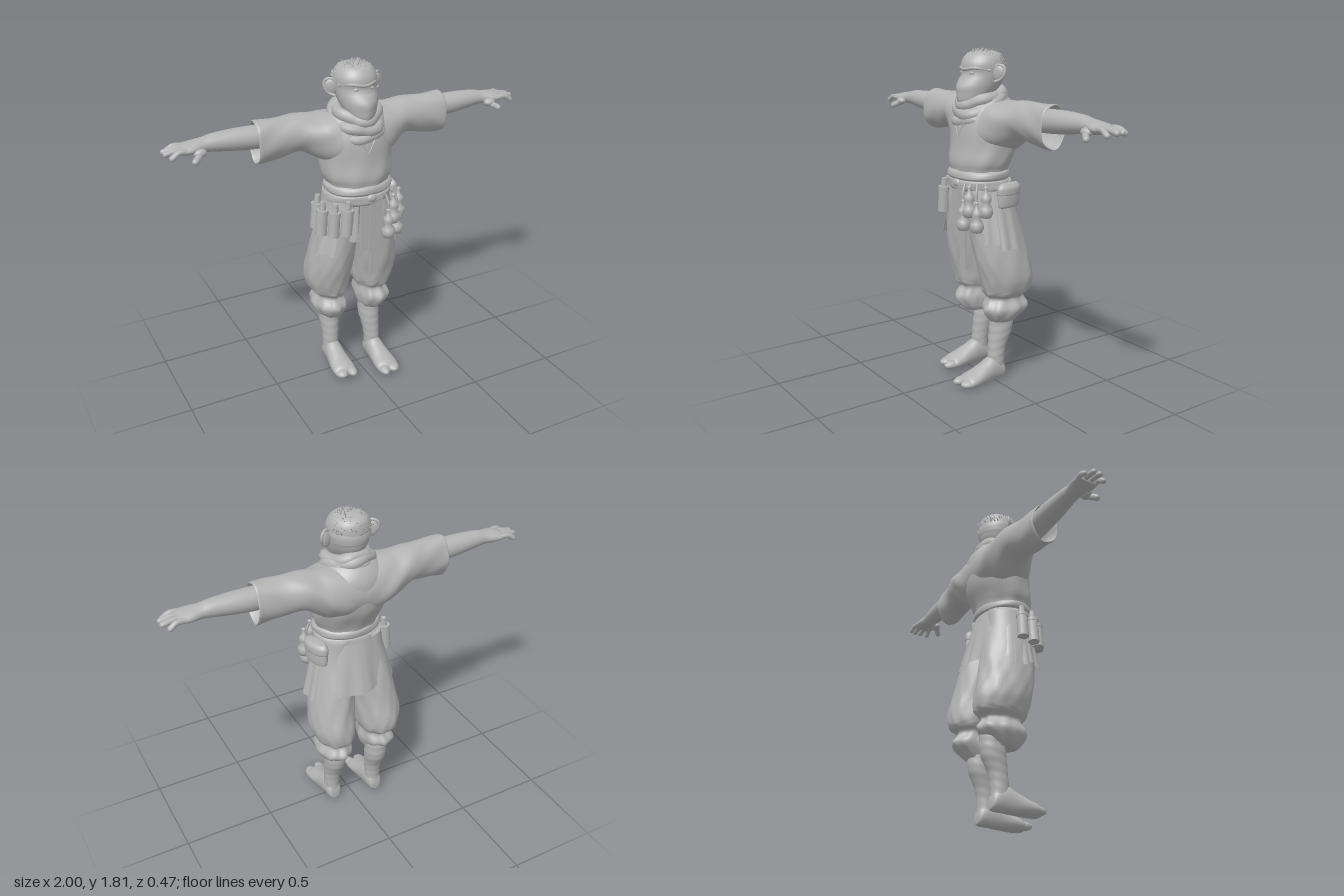
import * as THREE from 'three';

const grey = new THREE.MeshStandardMaterial({ color: 0xb3b3b3, side: THREE.DoubleSide });
grey.name = 'plain grey';

// Smooth skin through elliptical sections [u, ca, cb, ra, rb] along an axis:
// y axis: a = x, b = z; x axis: a = z, b = y; z axis: a = y, b = x
function loft(rows, { axis = 'y', n = 32, sub = 5, open = false, ripple = () => 1, floor = -9 } = {}) {
  const pos = [], idx = [], rings = [];
  const at = i => rows[Math.max(0, Math.min(rows.length - 1, i))];
  for (let i = 0; i < rows.length - 1; i++) {
    for (let k = 0; k < sub; k++) {
      const t = k / sub;
      rings.push(at(i).map((p1, c) => {
        const p0 = at(i - 1)[c], p2 = at(i + 1)[c], p3 = at(i + 2)[c];
        return 0.5 * (2 * p1 + (p2 - p0) * t + (2 * p0 - 5 * p1 + 4 * p2 - p3) * t * t + (3 * p1 - p0 - 3 * p2 + p3) * t * t * t);
      }));
    }
  }
  rings.push(rows[rows.length - 1]);
  const put = (u, a, b) => {
    const p = axis === 'y' ? [a, u, b] : axis === 'x' ? [u, b, a] : [b, a, u];
    pos.push(p[0], Math.max(p[1], floor), p[2]);
  };
  for (const [u, ca, cb, ra, rb] of rings) {
    for (let j = 0; j < n; j++) {
      const t = j / n * Math.PI * 2, r = ripple(t, u);
      put(u, ca + ra * r * Math.cos(t), cb + rb * r * Math.sin(t));
    }
  }
  for (let i = 0; i < rings.length - 1; i++) {
    for (let j = 0; j < n; j++) {
      const a = i * n + j, b = i * n + (j + 1) % n;
      idx.push(a, a + n, b, b, a + n, b + n);
    }
  }
  if (!open) {
    const last = (rings.length - 1) * n, c = rings.length * n;
    put(...rings[0]);
    put(...rings[rings.length - 1]);
    for (let j = 0; j < n; j++) {
      const k = (j + 1) % n;
      idx.push(c, j, k, c + 1, last + k, last + j);
    }
  }
  const g = new THREE.BufferGeometry();
  g.setAttribute('position', new THREE.Float32BufferAttribute(pos, 3));
  g.setIndex(idx);
  g.computeVertexNormals();
  return g;
}

// Mirror across x, keeping faces outward
function mirror(geo) {
  const g = geo.clone().scale(-1, 1, 1), ix = g.index.array;
  for (let i = 0; i < ix.length; i += 3) [ix[i], ix[i + 1]] = [ix[i + 1], ix[i]];
  return g;
}

const V = p => new THREE.Vector3(...p);
const tube = (pts, r, closed = false) =>
  new THREE.TubeGeometry(new THREE.CatmullRomCurve3(pts.map(V), closed), closed ? 56 : 16, r, 10, closed);
const ball = (p, s) => new THREE.SphereGeometry(1, 20, 14).scale(...s).translate(...p);

// Cloth panel hanging round the hips between two angles (0 = front, +90 = left)
function panel(a0, a1, yBot, off = 0) {
  const g = new THREE.PlaneGeometry(1, 1, 10, 8), p = g.attributes.position;
  for (let i = 0; i < p.count; i++) {
    const u = p.getX(i) + 0.5, d = 0.5 - p.getY(i);
    const a = THREE.MathUtils.degToRad(a0 + (a1 - a0) * u), y = 1.1 + (yBot - 1.1) * d;
    const f = (1.1 - y) / 0.3, w = off * d + 0.007 * Math.sin(u * 9) * d;
    p.setXYZ(i, (0.175 + 0.065 * f + w) * Math.sin(a), y, (0.145 + 0.045 * f + w) * Math.cos(a) - 0.015 * f);
  }
  g.computeVertexNormals();
  return g;
}

export function createModel() {
  const model = new THREE.Group();
  const add = (name, geo, parent = model) => {
    const m = new THREE.Mesh(geo, grey);
    m.name = name;
    parent.add(m);
    return m;
  };
  const both = (name, geo) => [add('left' + name, geo), add('right' + name, mirror(geo))];
  let seed = 7;
  const rnd = () => (seed = (seed * 16807) % 2147483647) / 2147483647;

  // Head, cloth face mask and brow
  add('head', loft([[1.46, 0, 0.0, 0.06, 0.07], [1.52, 0, 0.035, 0.065, 0.078], [1.56, 0, 0.03, 0.08, 0.092], [1.61, 0, 0.006, 0.097, 0.12],
    [1.66, 0, -0.012, 0.106, 0.117], [1.72, 0, -0.015, 0.11, 0.116], [1.76, 0, -0.02, 0.094, 0.1], [1.78, 0, -0.02, 0.066, 0.07], [1.79, 0, -0.02, 0.015, 0.015]],
    { n: 48, ripple: (t, u) => 1 - 0.05 * Math.exp(-(((u - 1.678) / 0.014) ** 2)) * Math.max(0, Math.sin(t)) }));
  add('faceMask', loft([[1.49, 0, 0.06, 0.045, 0.052], [1.53, 0, 0.05, 0.07, 0.083], [1.57, 0, 0.035, 0.087, 0.1], [1.61, 0, 0.012, 0.1, 0.122], [1.655, 0, -0.01, 0.109, 0.12]],
    { open: true, n: 48, ripple: (t, u) => 1 + 0.07 * Math.exp(-(((t - Math.PI / 2) / 0.3) ** 2)) * Math.sin((u - 1.49) / 0.165 * Math.PI) }));
  add('brow', tube([[-0.103, 1.69, 0.01], [-0.06, 1.703, 0.081], [0, 1.694, 0.1], [0.06, 1.703, 0.081], [0.103, 1.69, 0.01]], 0.009));
  both('Eye', ball([0.04, 1.676, 0.083], [0.018, 0.009, 0.012]));
  both('Ear', ball([0, 0, 0], [0.034, 0.043, 0.016]).rotateY(0.45).rotateZ(-0.2).translate(0.127, 1.673, -0.025));
  both('EarRim', tube([[0.103, 1.698, -0.012], [0.126, 1.718, -0.022], [0.153, 1.708, -0.04], [0.158, 1.678, -0.04], [0.14, 1.645, -0.026], [0.113, 1.632, -0.008]], 0.008));

  // Short spiky hair
  const hair = new THREE.Group();
  hair.name = 'hair';
  model.add(hair);
  add('hairCap', new THREE.SphereGeometry(1, 28, 12, 0, Math.PI * 2, 0, 1.5).scale(0.113, 0.095, 0.117).rotateX(-0.28).translate(0, 1.69, -0.02), hair);
  for (let i = 0; i < 120; i++) {
    const a = rnd() * Math.PI * 2, e = 0.05 + 1.35 * Math.sqrt(rnd());
    const el = Math.sin(a) < 0.2 ? e : e * 0.65;
    const d = V([Math.sin(el) * Math.cos(a), Math.cos(el), Math.sin(el) * Math.sin(a)]);
    const s = add('hairSpike', new THREE.ConeGeometry(0.012, 0.045 + rnd() * 0.015, 5), hair);
    s.position.set(d.x * 0.106, 1.688 + d.y * 0.097, -0.022 + d.z * 0.108);
    s.quaternion.setFromUnitVectors(V([0, 1, 0]), d.clone().multiplyScalar(0.6).add(V([0.1, 0.4, -0.4])).normalize());
  }

  // Scarf wrapped in sagging loops
  [[1.548, 0.102, 0.032, 0.3], [1.515, 0.113, 0.033, 0.44], [1.485, 0.117, 0.028, 0.54]].forEach(([y, r, w, tilt], k) => {
    const pts = [];
    for (let i = 0; i < 18; i++) {
      const a = i / 18 * Math.PI * 2, wob = r + 0.005 * Math.sin(5 * a + 2 * k);
      pts.push([wob * Math.cos(a), y - Math.sin(a) * r * tilt + 0.008 * Math.sin(3 * a + 2 * k), wob * Math.sin(a) * 1.04]);
    }
    add('scarfLoop', tube(pts, w, true));
  });

  // Tunic with crossed lapels
  add('tunic', loft([[1.08, 0, 0.01, 0.16, 0.135], [1.17, 0, 0.01, 0.168, 0.143], [1.22, 0, 0.005, 0.188, 0.155], [1.3, 0, -0.02, 0.2, 0.168], [1.4, 0, -0.03, 0.205, 0.17],
    [1.48, 0, -0.037, 0.185, 0.157], [1.54, 0, -0.03, 0.135, 0.125], [1.58, 0, -0.02, 0.07, 0.08]],
    { n: 56, ripple: (t, u) => 1 + 0.014 * Math.sin(9 * t + u * 18) * Math.max(0, 1.45 - u) * 4 }));
  both('Lapel', tube([[0.075, 1.48, 0.1], [0.04, 1.42, 0.13], [0, 1.35, 0.141]], 0.007));

  // Wide sleeves from the middle of the yoke, open at the cuff, with a folded lining
  const folds = (t, u) => 1 + 0.028 * Math.sin(5 * t + u * 26) * Math.sin(u * 9);
  both('Sleeve', loft([[0, -0.042, 1.4, 0.162, 0.14], [0.1, -0.047, 1.4, 0.159, 0.142], [0.17, -0.055, 1.41, 0.147, 0.13], [0.22, -0.06, 1.425, 0.13, 0.115], [0.3, -0.067, 1.453, 0.106, 0.097], [0.4, -0.057, 1.446, 0.088, 0.103],
    [0.5, -0.052, 1.441, 0.081, 0.112], [0.53, -0.052, 1.44, 0.08, 0.113], [0.53, -0.052, 1.44, 0.073, 0.105], [0.45, -0.052, 1.445, 0.072, 0.095]],
    { axis: 'x', n: 48, open: true, ripple: folds }));

  // Bare arms running into the palms
  both('Arm', loft([[0.4, -0.05, 1.465, 0.06, 0.06], [0.55, -0.055, 1.47, 0.061, 0.059], [0.65, -0.055, 1.475, 0.057, 0.054], [0.75, -0.055, 1.479, 0.048, 0.044],
    [0.8, -0.053, 1.477, 0.047, 0.036], [0.85, -0.05, 1.474, 0.06, 0.032], [0.89, -0.049, 1.473, 0.063, 0.025], [0.92, -0.049, 1.471, 0.055, 0.014]], { axis: 'x' }));
  for (let i = 0; i < 4; i++) {
    const z0 = -0.096 + i * 0.031, z1 = -0.108 + i * 0.037, end = [0.962, 0.986, 0.986, 0.965][i], y = [1.458, 1.466, 1.466, 1.455][i];
    both('Finger', tube([[0.87, 1.473, z0], [0.93, 1.476, (z0 + z1) / 2], [end, y, z1]], 0.0145));
    both('Fingertip', ball([end, y, z1], [0.0145, 0.0145, 0.0145]));
  }
  both('ThumbBase', ball([0.83, 1.457, 0], [0.034, 0.022, 0.026]));
  both('Thumb', tube([[0.81, 1.463, -0.015], [0.838, 1.447, 0.014], [0.864, 1.432, 0.034]], 0.0165));
  both('ThumbTip', ball([0.865, 1.431, 0.035], [0.0165, 0.0165, 0.0165]));

  // Baggy trousers gathered below the knee
  const [, rightTrouser] = both('TrouserLeg', loft([[0.34, 0.118, -0.06, 0.058, 0.07], [0.37, 0.125, -0.062, 0.08, 0.1], [0.42, 0.13, -0.075, 0.095, 0.137], [0.475, 0.122, -0.075, 0.08, 0.108],
    [0.505, 0.128, -0.083, 0.1, 0.135], [0.54, 0.131, -0.084, 0.113, 0.147], [0.6, 0.135, -0.076, 0.122, 0.154], [0.7, 0.127, -0.052, 0.121, 0.156],
    [0.85, 0.105, -0.027, 0.115, 0.152], [1.0, 0.09, 0, 0.1, 0.138], [1.12, 0.08, 0, 0.09, 0.128]],
    { n: 64, ripple: (t, u) => 1 + ((u < 0.52 ? 0.035 : 0.016) * Math.sin(8 * t + u * 20) + 0.012 * Math.sin(13 * t - u * 34)) * Math.min(1, Math.max(0, 1.05 - u) * 3) }));
  rightTrouser.position.x = -0.01;

  // Shins and split-toed shoes, the right one set back
  const lower = [
    ...both('Shin', loft([[0.05, 0.113, -0.025, 0.043, 0.046], [0.13, 0.113, -0.025, 0.044, 0.048], [0.2, 0.111, -0.035, 0.048, 0.053], [0.28, 0.109, -0.057, 0.058, 0.067],
      [0.36, 0.11, -0.065, 0.058, 0.066], [0.42, 0.11, -0.065, 0.055, 0.06]], { sub: 8, ripple: (t, u) => 1 + 0.014 * Math.sin(u * 130 + 2 * Math.sin(t)) })),
    ...both('Shoe', loft([[-0.076, 0.03, 0.113, 0.02, 0.02], [-0.06, 0.05, 0.113, 0.05, 0.04], [0, 0.065, 0.113, 0.072, 0.049], [0.06, 0.05, 0.115, 0.06, 0.055],
      [0.12, 0.036, 0.117, 0.045, 0.064], [0.17, 0.028, 0.117, 0.034, 0.064], [0.195, 0.02, 0.117, 0.018, 0.045]], { axis: 'z', floor: 0.002 })),
    ...both('BigToe', ball([0.084, 0.026, 0.182], [0.029, 0.024, 0.053])),
    ...both('OuterToes', ball([0.143, 0.025, 0.172], [0.037, 0.024, 0.052])),
  ];
  lower.filter(m => m.name.startsWith('right')).forEach(m => m.position.set(-0.012, 0.015, -0.058));

  // Waist sash with folds
  add('sash', loft([[1.07, 0, 0.012, 0.168, 0.14], [1.085, 0, 0.012, 0.183, 0.152], [1.12, 0, 0.014, 0.182, 0.152], [1.128, 0, 0.014, 0.174, 0.145], [1.14, 0, 0.014, 0.184, 0.155],
    [1.165, 0, 0.012, 0.182, 0.152], [1.178, 0, 0.01, 0.165, 0.138]], { n: 48, ripple: (t, u) => 1 + 0.014 * Math.sin(4 * t + u * 60) }));
  add('sashKnot', ball([0.01, 1.11, 0.155], [0.03, 0.024, 0.018]));

  // Overlapping skirt panels, open at the front
  [[106, 145, 0.8], [140, 182, 0.82], [178, 222, 0.82], [216, 254, 0.8]].forEach(([a, b, y], i) => add('backSkirtPanel', panel(a, b, y, 0.012 * (i % 2))));
  [[50, 78, 0.8], [76, 108, 0.77], [252, 284, 0.77], [282, 312, 0.79]].forEach(([a, b, y], i) => add('sideSkirtPanel', panel(a, b, y, 0.01 * (i % 2))));
  add('frontFlap', panel(-48, -18, 0.87, -0.012));

  // Sash ends hanging in front
  [[-0.022, 0.05, 0.8, 0.03, 0.142], [0.02, 0.04, 0.78, 0, 0.15], [0.042, 0.05, 0.64, -0.03, 0.145]].forEach(([x, w, yb, lean, z]) => {
    const h = 1.11 - yb;
    const s = add('sashEnd', new THREE.BoxGeometry(w, h, 0.012));
    s.position.set(x, 1.11 - h / 2, z);
    s.rotation.set(0.05, 0, lean);
  });

  // Bamboo flasks at the right hip
  [[-0.13, 0.15, 1.0], [-0.187, 0.115, 0.985], [-0.232, 0.06, 0.985], [-0.232, -0.005, 1.0]].forEach(([x, z, y]) => {
    const f = new THREE.Group();
    f.name = 'flask';
    f.position.set(x, y, z);
    f.rotation.z = -0.08;
    model.add(f);
    add('flaskBody', new THREE.CylinderGeometry(0.029, 0.031, 0.14, 16), f);
    add('flaskRim', new THREE.CylinderGeometry(0.032, 0.032, 0.018, 16).translate(0, 0.06, 0), f);
    add('flaskStopper', new THREE.CylinderGeometry(0.014, 0.018, 0.05, 10).translate(0, 0.09, 0), f);
  });

  // Gourds hung from the left of the sash
  const gourd = new THREE.LatheGeometry([[0, 0], [0.026, 0.006], [0.038, 0.03], [0.034, 0.055], [0.018, 0.075], [0.028, 0.095], [0.026, 0.118], [0.01, 0.135], [0.008, 0.16], [0.013, 0.165], [0, 0.172]].map(p => new THREE.Vector2(...p)), 20);
  [[0.1, 0.178, 0.87], [0.17, 0.142, 0.865], [0.135, 0.165, 0.945], [0.2, 0.105, 0.945]].forEach(([x, z, y]) => {
    add('gourd', gourd).position.set(x, y, z);
    add('gourdCord', tube([[x, y + 0.16, z], [x * 0.99, 1.07, z], [x * 0.9, 1.12, z * 0.9]], 0.006));
  });

  // Pouch with lid behind the left hip
  const pouch = new THREE.Group();
  pouch.name = 'pouch';
  pouch.position.set(0.2, 1.05, -0.04);
  pouch.rotation.y = 0.25;
  model.add(pouch);
  add('pouchBody', loft([[-0.06, 0, 0, 0.022, 0.065], [-0.045, 0, 0, 0.034, 0.078], [0.03, 0, 0, 0.034, 0.078], [0.055, 0, 0, 0.02, 0.065]]), pouch);
  add('pouchLid', loft([[0.01, 0, 0, 0.039, 0.083], [0.045, 0, 0, 0.038, 0.082], [0.065, 0, 0, 0.022, 0.066]]), pouch);
  return model;
}
